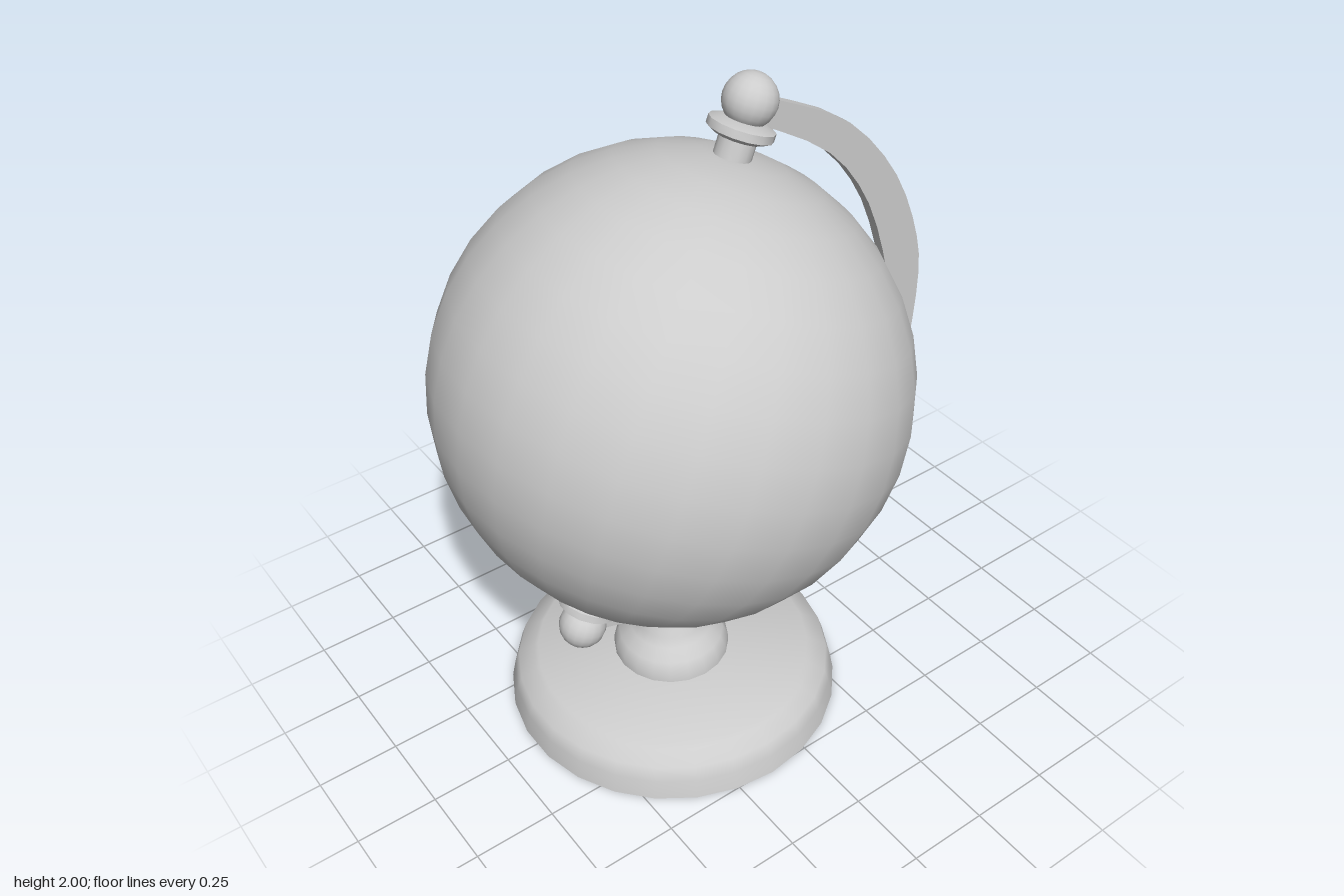
import * as THREE from 'three';
import { toCreasedNormals } from 'three/addons/utils/BufferGeometryUtils.js';

export function createModel() {
  const group = new THREE.Group();
  const grey = new THREE.MeshStandardMaterial({ color: 0xcccccc });
  grey.name = 'plainGrey';

  const add = (name, geometry, x, y, z = 0, tilt = 0, parent = group) => {
    const mesh = new THREE.Mesh(geometry, grey);
    mesh.name = name;
    mesh.position.set(x, y, z);
    mesh.rotation.z = tilt;
    parent.add(mesh);
    return mesh;
  };
  const vectors = (points) => points.map(([x, y]) => new THREE.Vector2(x, y));
  const lathe = (points, sides, crease) =>
    toCreasedNormals(new THREE.LatheGeometry(vectors(points), sides), crease);

  // Polar axis leaning towards +x
  const topEnd = new THREE.Vector2(0.137, 1.926);
  const bottomEnd = new THREE.Vector2(-0.458, 0.405);
  const tilt = -Math.atan2(topEnd.x - bottomEnd.x, topEnd.y - bottomEnd.y);

  // Globe ball
  add('globe', new THREE.SphereGeometry(0.675, 26, 18), -0.12, 1.143, 0, tilt);

  // Knob, collar and pin at each pole; the pin points down the local -y axis
  const pole = (name, end, angle, radius) => {
    const part = new THREE.Group();
    part.name = name;
    part.position.set(end.x, end.y, 0);
    part.rotation.z = angle;
    group.add(part);
    add(name + 'Knob', new THREE.SphereGeometry(radius, 18, 12), 0, 0, 0, 0, part);
    add(name + 'Collar', lathe([[0, -0.1], [0.07, -0.1], [0.092, -0.088], [0.092, -0.065],
      [0.06, -0.052], [0, -0.052]], 14, 0.7), 0, 0, 0, 0, part);
    add(name + 'Pin', toCreasedNormals(new THREE.CylinderGeometry(0.052, 0.052, 0.13, 14), 0.7),
      0, -0.145, 0, 0, part);
  };
  pole('topPole', topEnd, tilt, 0.075);
  pole('bottomPole', bottomEnd, tilt + Math.PI, 0.071);

  // Flat curved arm from pole to pole
  const outer = vectors([[0.15, 1.935], [0.2, 1.915], [0.46, 1.775], [0.65, 1.565], [0.76, 1.33], [0.79, 1.13],
    [0.752, 0.84], [0.6, 0.555], [0.38, 0.385], [0, 0.295], [-0.22, 0.31], [-0.44, 0.375]]);
  const inner = vectors([[-0.44, 0.435], [-0.23, 0.41], [-0.05, 0.412], [0.15, 0.438], [0.33, 0.505],
    [0.52, 0.665], [0.63, 0.9], [0.657, 1.12], [0.648, 1.25], [0.555, 1.5], [0.4, 1.7], [0.15, 1.86]]);
  const outline = [...new THREE.SplineCurve(outer).getPoints(32), ...new THREE.SplineCurve(inner).getPoints(32)];
  const arm = new THREE.ExtrudeGeometry(new THREE.Shape(outline), { depth: 0.034, bevelEnabled: false });
  add('arm', toCreasedNormals(arm, 0.7), 0, 0, -0.02);

  // Round base with a sloping rim
  add('base', lathe([[0, 0], [0.514, 0], [0.502, 0.06], [0.487, 0.105], [0.438, 0.13], [0.425, 0.14],
    [0, 0.143]], 26, 0.8), -0.135, 0);

  // Flared pedestal with a narrow neck
  add('pedestal', lathe([[0.18, 0.135], [0.178, 0.17], [0.162, 0.205], [0.128, 0.235], [0.11, 0.26],
    [0.098, 0.3], [0.07, 0.345], [0.062, 0.38], [0.064, 0.425], [0.071, 0.45], [0, 0.45]], 20, 0.9), -0.14, 0);

  return group;
}
